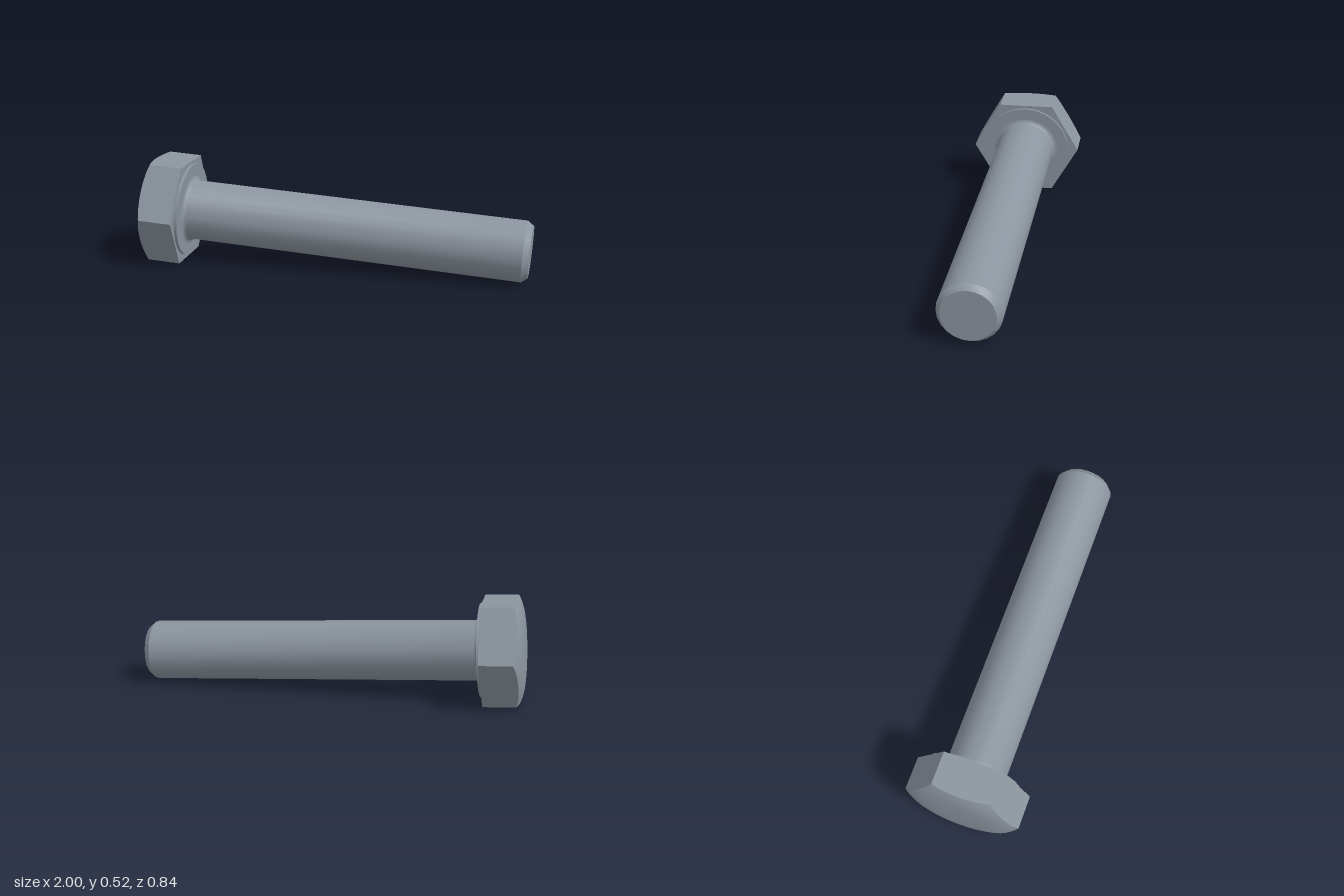
import * as THREE from 'three';
import { toCreasedNormals } from 'three/addons/utils/BufferGeometryUtils.js';

const HEX_R = 0.2945;            // centre to hex corner
const APOTHEM = HEX_R * Math.cos(Math.PI / 6);
const HEAD_H = 0.211;            // head height at its crown
const WASHER_H = 0.014;
const LENGTH = 1.775;            // bearing face to tip
const SHANK_R = 0.154;

const lathe = (pts, segments) =>
  new THREE.LatheGeometry(pts.map(([r, y]) => new THREE.Vector2(r, y)), segments);

// Hexagonal head: a lathe squeezed to a hexagon, its crown falling away to the corners
function headGeometry() {
  const rings = [0, 0.25, 0.5, 0.65, 0.75, 0.83, 0.9, 0.95, 1];
  const geo = lathe([...rings.map(r => [r, -1]), [1, 0], [0, 0]], 72);
  const p = geo.attributes.position;
  const sector = Math.PI / 3;
  for (let i = 0; i < p.count; i++) {
    const x = p.getX(i), z = p.getZ(i);
    const a = Math.atan2(x, z) + 2 * Math.PI;
    const rim = APOTHEM / Math.cos((a % sector) - sector / 2);
    const r = Math.hypot(x, z) * rim;
    const y = p.getY(i) < -0.5 ? -HEAD_H + 0.042 * (r / HEX_R) ** 4 : 0;
    p.setXYZ(i, x * rim, y, z * rim);
  }
  return toCreasedNormals(geo, 0.5);
}

// Shank with a fillet at the washer face and a chamfered tip
function shankGeometry() {
  const fillet = 0.025, pts = [];
  for (let i = 0; i <= 5; i++) {
    const a = (i / 5) * Math.PI / 2;
    pts.push([SHANK_R + fillet * (1 - Math.sin(a)), WASHER_H + fillet * (1 - Math.cos(a))]);
  }
  pts.push([SHANK_R, LENGTH - 0.03], [0.131, LENGTH], [0, LENGTH]);
  return toCreasedNormals(lathe(pts, 24), 0.5);
}

export function createModel() {
  const steel = new THREE.MeshStandardMaterial({ color: 0x8c959f });
  steel.name = 'steel';
  const bolt = new THREE.Group();
  bolt.name = 'hexBolt';

  const add = (name, geo) => {
    const mesh = new THREE.Mesh(geo, steel);
    mesh.name = name;
    bolt.add(mesh);
  };
  add('hexHead', headGeometry());
  add('washerFace', toCreasedNormals(lathe([[0.241, 0], [0.241, WASHER_H], [0, WASHER_H]], 24), 0.5));
  add('shank', shankGeometry());

  // Lay the bolt along its slanted axis, two hex flats facing up and down
  const axis = new THREE.Vector3(1, -0.059, 0.213).normalize();
  const side = new THREE.Vector3(-axis.z, 0, axis.x).normalize();
  const down = new THREE.Vector3().crossVectors(axis, side);
  bolt.quaternion.setFromRotationMatrix(new THREE.Matrix4().makeBasis(down, axis, side));
  bolt.position.set(-0.76, 0.257, -0.099);

  const model = new THREE.Group();
  model.name = 'model';
  model.add(bolt);
  return model;
}
